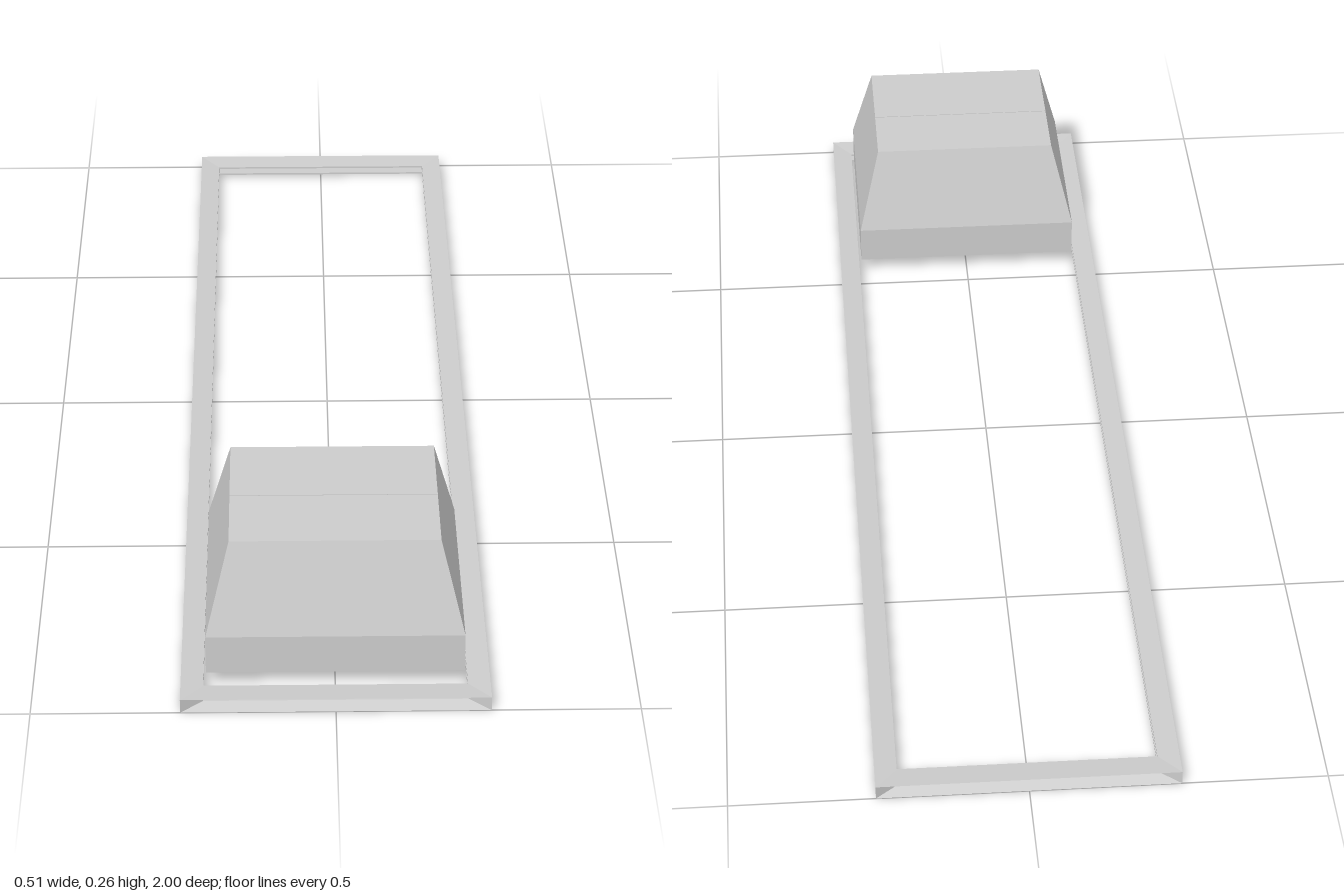
import * as THREE from 'three';

const material = new THREE.MeshStandardMaterial({ color: 0xcccccc, flatShading: true });

// Thin open cage: one mitred kite-section strut along each of the 12 box edges
function cageGeometry() {
  const outer = [0.255, 0.0125, 1];
  const inner = [0.218, 0.0055, 0.955];
  const middle = outer.map((o, i) => (o + inner[i]) / 2);
  const positions = [];
  for (let k = 0; k < 3; k++) {
    const a = (k + 1) % 3, b = (k + 2) % 3;
    for (const sa of [-1, 1]) for (const sb of [-1, 1]) {
      const point = (va, vb, vk) => {
        const p = [0, 0, 0];
        p[a] = sa * va; p[b] = sb * vb; p[k] = vk;
        return new THREE.Vector3(...p);
      };
      // Each section line runs the length of the strut
      const lines = [
        [outer[a], outer[b], outer[k]],
        [middle[a], inner[b], inner[k]],
        [inner[a], inner[b], inner[k]],
        [inner[a], middle[b], inner[k]],
      ].map(([va, vb, vk]) => [point(va, vb, -vk), point(va, vb, vk)]);
      for (let i = 0; i < 4; i++) {
        const [p, q] = lines[i], [s, r] = lines[(i + 1) % 4];
        // The winding mirrors with the corner signs
        const quad = sa * sb > 0 ? [p, r, s, p, q, r] : [p, s, r, p, r, q];
        for (const v of quad) positions.push(v.x, v.y, v.z);
      }
    }
  }
  const geometry = new THREE.BufferGeometry();
  geometry.setAttribute('position', new THREE.Float32BufferAttribute(positions, 3));
  geometry.computeVertexNormals();
  return geometry;
}

// Box whose upper face is narrowed to the given width and depth
function taperedBox(width, height, depth, topWidth, topDepth) {
  const geometry = new THREE.BoxGeometry(width, height, depth);
  const pos = geometry.attributes.position;
  for (let i = 0; i < pos.count; i++) {
    if (pos.getY(i) < 0) continue;
    pos.setX(i, pos.getX(i) * topWidth / width);
    pos.setZ(i, pos.getZ(i) * topDepth / depth);
  }
  geometry.computeVertexNormals();
  return geometry;
}

export function createModel() {
  const model = new THREE.Group();
  model.name = 'sliderControl';

  const addPart = (parent, name, geometry, y) => {
    const mesh = new THREE.Mesh(geometry, material);
    mesh.name = name;
    mesh.position.y = y;
    parent.add(mesh);
  };

  addPart(model, 'trackFrame', cageGeometry(), 0.0125);

  const knob = new THREE.Group();
  knob.name = 'sliderKnob';
  knob.position.z = 0.7365;
  addPart(knob, 'knobBase', new THREE.BoxGeometry(0.427, 0.07, 0.387), 0.065);
  addPart(knob, 'knobCap', taperedBox(0.427, 0.157, 0.387, 0.347, 0.295), 0.1785);
  model.add(knob);

  // Thin marker line lying across the top of the knob
  const marker = new THREE.Group();
  marker.name = 'markerLine';
  marker.position.z = -0.0045;
  addPart(marker, 'markerStrip', new THREE.BoxGeometry(0.347, 0.004, 0.026), 0.256);
  knob.add(marker);

  return model;
}
